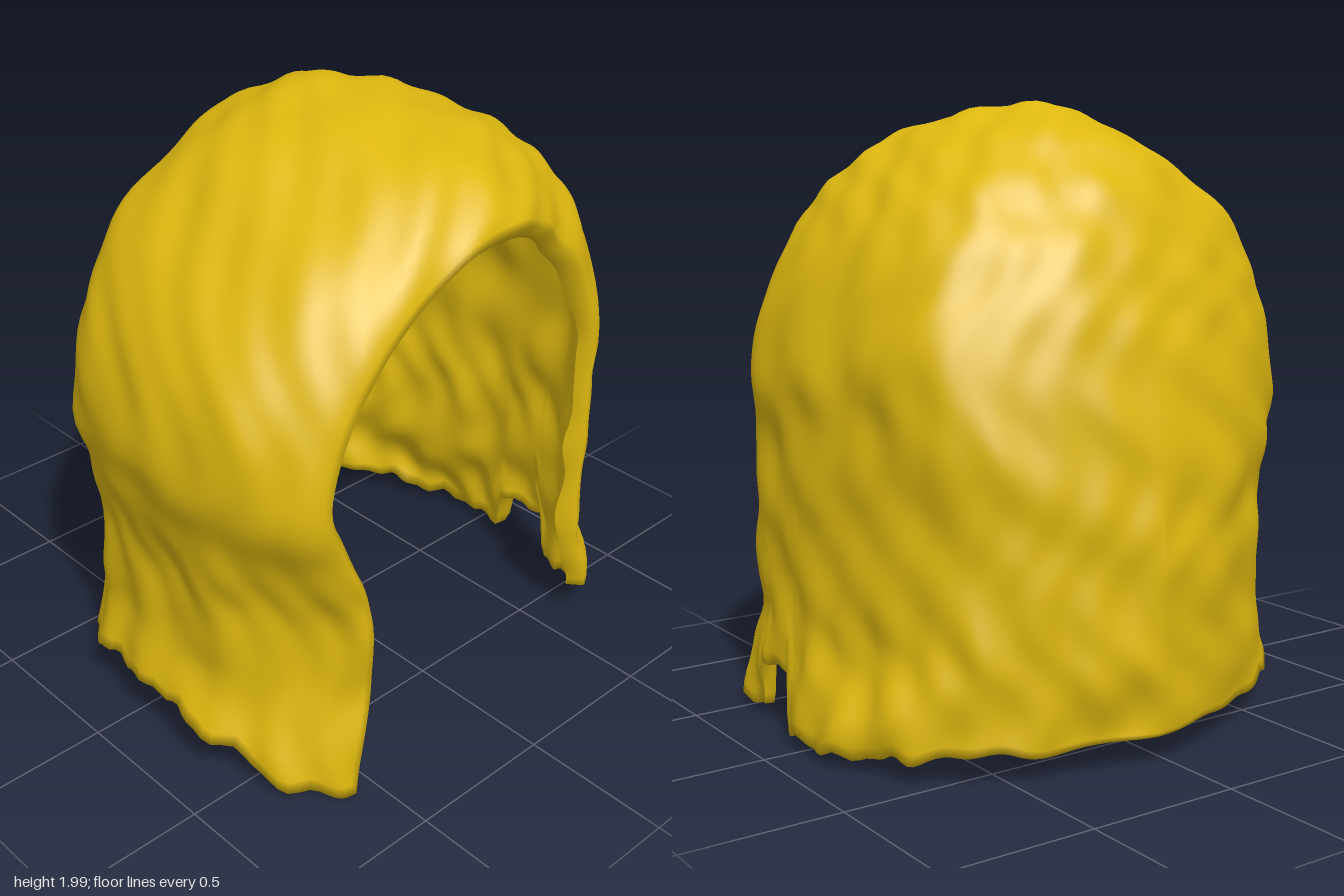
import * as THREE from 'three';
import { mergeVertices } from 'three/addons/utils/BufferGeometryUtils.js';

const ROWS = 90, COLS = 120;
const step = THREE.MathUtils.smoothstep;
const fall = (v, hi, lo) => 1 - step(v, lo, hi); // 1 below lo, 0 above hi

// Arch stations from nape to brow: half width, crown height, depth
const stations = new THREE.CatmullRomCurve3([
  [0, 0.7, -0.76], [0.13, 0.87, -0.745], [0.28, 1.13, -0.705], [0.46, 1.43, -0.625],
  [0.62, 1.68, -0.505], [0.76, 1.89, -0.31], [0.85, 1.99, 0], [0.865, 1.975, 0.28],
  [0.84, 1.93, 0.52], [0.77, 1.86, 0.67], [0.7, 1.79, 0.75], [0.645, 1.735, 0.775],
].map((p) => new THREE.Vector3(...p)), false, 'centripetal');

// Ragged lower edge, different on each side
function hemHeight(z, side) {
  const ragged = 0.009 * Math.sin(z * 31 + side) + 0.007 * Math.sin(z * 57);
  if (side > 0) {
    const notch = step(z, 0.12, 0.17) * fall(z, 0.4, 0.35);
    return 0.04 + 0.17 * notch + 0.06 * fall(z, -0.1, -0.7) + 0.09 * step(z, 0.64, 0.78) + ragged;
  }
  const mid = 0.1 * step(z, -0.6, 0.05) * fall(z, 0.72, 0.2);
  return 0.1 + mid - 0.085 * step(z, 0.4, 0.75) + ragged;
}

// Uneven clumps of hair
function lumps(x, y, z) {
  return 0.007 * Math.sin(11 * x + 5 * Math.sin(3 * y)) * Math.sin(6 * y + 7 * z)
    + 0.006 * Math.sin(19 * z + 3 * Math.sin(4 * y)) * Math.sin(10 * y - 9 * x)
    + 0.005 * Math.sin(27 * x + 23 * z + 2 * Math.sin(9 * y)) * Math.cos(11 * y + 8 * z);
}

// One point of the shell: u runs from right hem (-1) over the crown to left hem (1)
function shellPoint(station, u, inner) {
  let [w, h, z] = [station.x, station.y, station.z];
  if (inner) { w *= 0.94; h -= 0.045; z *= 0.943; }
  const side = u < 0 ? -1 : 1, a = Math.abs(u);
  const spring = Math.min(1.1, h * 0.58);
  let x, y;
  if (a < 0.55) {
    const t = (a / 0.55) * Math.PI / 2;
    x = side * w * Math.pow(Math.sin(t), 1.15);
    y = spring + (h - spring) * Math.cos(t);
  } else {
    const blend = step(Math.abs(station.x), 0, 0.3);
    const hem = THREE.MathUtils.lerp(0.1, hemHeight(station.z, side), blend);
    x = side * w;
    y = THREE.MathUtils.lerp(spring, hem, (a - 0.55) / 0.45);
  }
  const front = step(z, 0.3, 0.72);
  // Walls pinch in above the hem, more so at the face
  const pinch = fall(y, 1.15, 0.6);
  x *= 1 - pinch * (0.055 * step(y, 0.1, 0.4) + 0.09 * front * step(y, -0.3, 0.4));
  x += 0.035 * pinch * front;
  // Crown leans slightly to the right, the nape to the left
  x -= 0.05 * step(y, 0.6, 1.1) * fall(y, 1.95, 1.35) * step(z, -0.6, -0.1);
  x += 0.06 * fall(z, -0.2, -0.6);
  // Ends of the hair flick outward
  const low = fall(y, 0.36, 0.08);
  const offCentre = step(Math.abs(x), 0.1, 0.5);
  const flick = side > 0 ? 0.04 * fall(z, 0.12, 0) : 0.035 * fall(z, 0.7, 0.3);
  x += side * offCentre * low * (flick + 0.012 * Math.sin(z * 23));
  if (side > 0) x += low * offCentre * (0.06 * front - 0.05 * step(z, 0.12, 0.3));
  z += 0.03 * low * fall(z, 0, -0.6);
  // Left side of the face opening sits further back
  z -= 0.12 * step(x, -0.05, 0.5) * step(z, 0.25, 0.75);
  // Clumped surface, stronger toward the ends
  const d = lumps(x, y, z) * (1 + 0.8 * fall(y, 1.2, 0.2)) * (inner ? 1.4 : 1);
  const r = Math.hypot(x, z) || 1;
  x += d * x / r;
  z += d * z / r;
  y += d * step(y, 1.1, 1.8);
  return [x, Math.min(2, Math.max(0, y)), z];
}

function wigGeometry() {
  const pos = [], index = [];
  const total = ROWS * 2, stride = COLS + 1;
  for (let i = 0; i < total; i++) {
    const inner = i >= ROWS;
    const k = inner ? total - 1 - i : i;
    const station = stations.getPointAt(k / (ROWS - 1));
    for (let j = 0; j <= COLS; j++) pos.push(...shellPoint(station, (j / COLS) * 2 - 1, inner));
  }
  const id = (i, j) => i * stride + j;
  // Outer skin, rolled brow edge and lining
  for (let i = 0; i < total - 1; i++) {
    for (let j = 0; j < COLS; j++) {
      const a = id(i, j), b = id(i + 1, j), c = id(i + 1, j + 1), d = id(i, j + 1);
      index.push(a, b, d, b, c, d);
    }
  }
  // Hem strips joining skin to lining
  for (let i = 0; i < ROWS - 1; i++) {
    for (const j of [0, COLS]) {
      const a = id(i, j), b = id(i + 1, j), c = id(total - 1 - i, j), d = id(total - 2 - i, j);
      if (j === 0) index.push(b, a, c, b, c, d);
      else index.push(a, b, c, b, d, c);
    }
  }
  let geo = new THREE.BufferGeometry();
  geo.setAttribute('position', new THREE.Float32BufferAttribute(pos, 3));
  geo.setIndex(index);
  geo = mergeVertices(geo, 1e-4);
  geo.computeVertexNormals();
  return geo;
}

export function createModel() {
  const group = new THREE.Group();
  group.name = 'wig';
  const blond = new THREE.MeshStandardMaterial({ color: 0xdeb80f, side: THREE.DoubleSide });
  blond.name = 'blond hair';
  const hair = new THREE.Mesh(wigGeometry(), blond);
  hair.name = 'hairShell';
  group.add(hair);
  return group;
}
